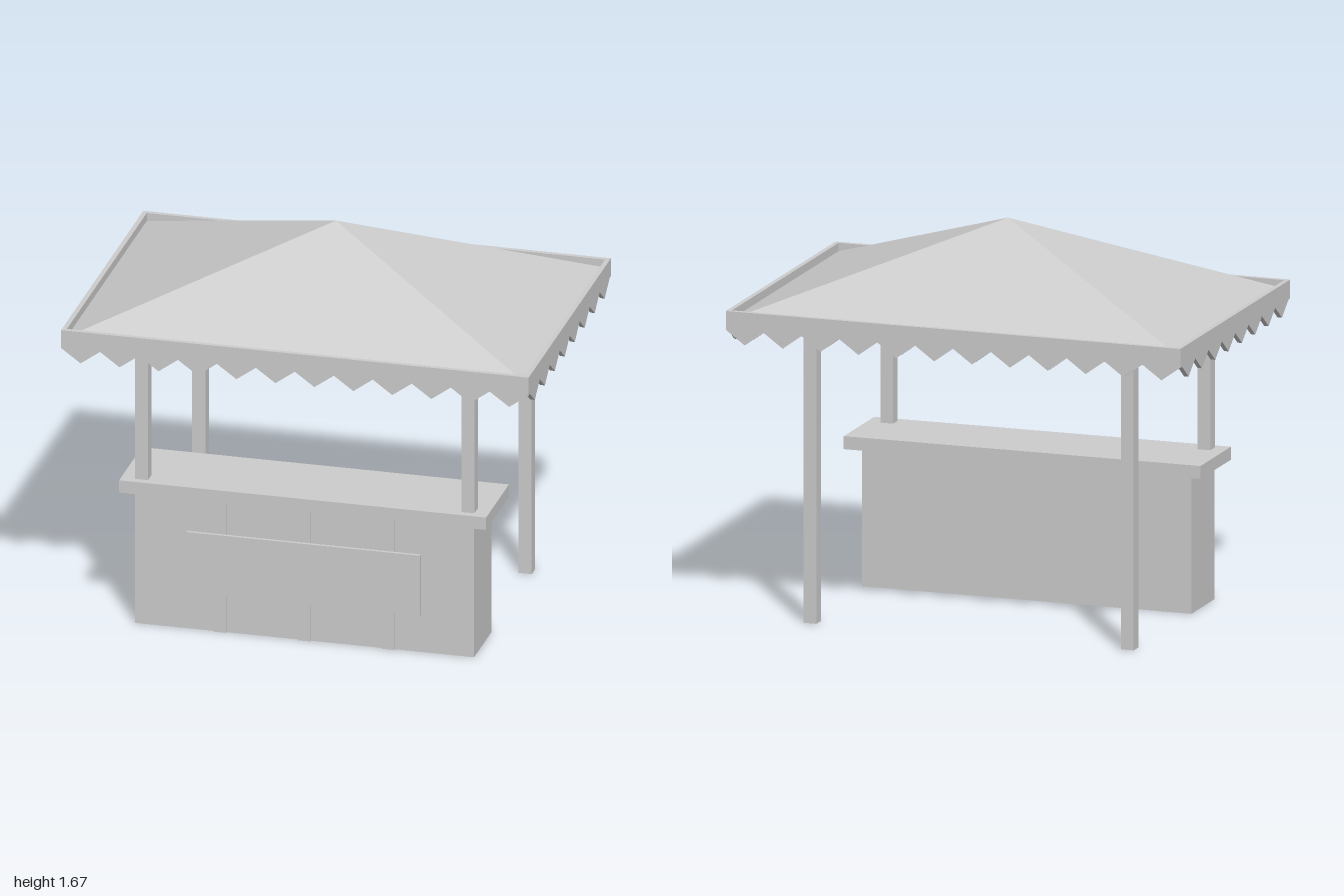
import * as THREE from 'three';

export function createModel() {
  const stall = new THREE.Group();
  stall.name = 'marketStall';
  const grey = new THREE.MeshStandardMaterial({ color: 0xcccccc });
  grey.name = 'plain grey';

  const add = (name, geometry) => {
    const mesh = new THREE.Mesh(geometry, grey);
    mesh.name = name;
    stall.add(mesh);
    return mesh;
  };
  // Box given by its lower and upper limits
  const box = (name, x0, x1, y0, y1, z0, z1) =>
    add(name, new THREE.BoxGeometry(x1 - x0, y1 - y0, z1 - z0)
      .translate((x0 + x1) / 2, (y0 + y1) / 2, (z0 + z1) / 2));

  // Counter with battens and a sign board on its front
  box('counterBody', -0.725, 0.725, 0, 0.59, 0.225, 0.507);
  box('counterTop', -0.785, 0.785, 0.59, 0.645, 0.17, 0.54);
  for (const x of [-0.36, 0, 0.36]) {
    box('counterBatten', x - 0.026, x + 0.026, 0, 0.59, 0.505, 0.516);
  }
  box('signBoard', -0.5, 0.5, 0.17, 0.44, 0.516, 0.53);

  // Short posts on the counter, long posts at the back
  const roofBase = 1.31;
  for (const side of [-1, 1]) {
    const x = side * 0.698;
    box('frontPost', x - 0.028, x + 0.028, 0.645, roofBase, 0.451, 0.507);
    box('backPost', x - 0.028, x + 0.028, 0, roofBase, -0.475, -0.419);
  }

  // Hipped roof: a four-sided pyramid with a flat underside
  const halfX = 0.98, halfZ = 0.645, rise = 0.365;
  add('roof', new THREE.ConeGeometry(Math.SQRT2, rise, 4, 1)
    .rotateY(Math.PI / 4)
    .scale(halfX, 1, halfZ)
    .translate(0, roofBase + rise / 2, 0)
    .toNonIndexed()).geometry.computeVertexNormals();

  // Valance strip with a zigzag lower edge
  const thickness = 0.02;
  const valance = (name, length, teeth) => {
    const top = 1.345, valley = 1.265, tip = 1.205, step = length / teeth;
    const shape = new THREE.Shape();
    shape.moveTo(length / 2, top);
    shape.lineTo(-length / 2, top);
    shape.lineTo(-length / 2, valley);
    for (let i = 0; i < teeth; i++) {
      const x = -length / 2 + i * step;
      shape.lineTo(x + step / 2, tip);
      shape.lineTo(x + step, valley);
    }
    return add(name, new THREE.ExtrudeGeometry(shape, { depth: thickness, bevelEnabled: false }));
  };
  valance('frontValance', 2, 12).position.z = halfZ;
  valance('backValance', 2, 12).position.z = -halfZ - thickness;
  for (const side of [-1, 1]) {
    const strip = valance(side > 0 ? 'leftValance' : 'rightValance', halfZ * 2, 8);
    strip.rotation.y = side * Math.PI / 2;
    strip.position.x = side * halfX;
  }
  return stall;
}
